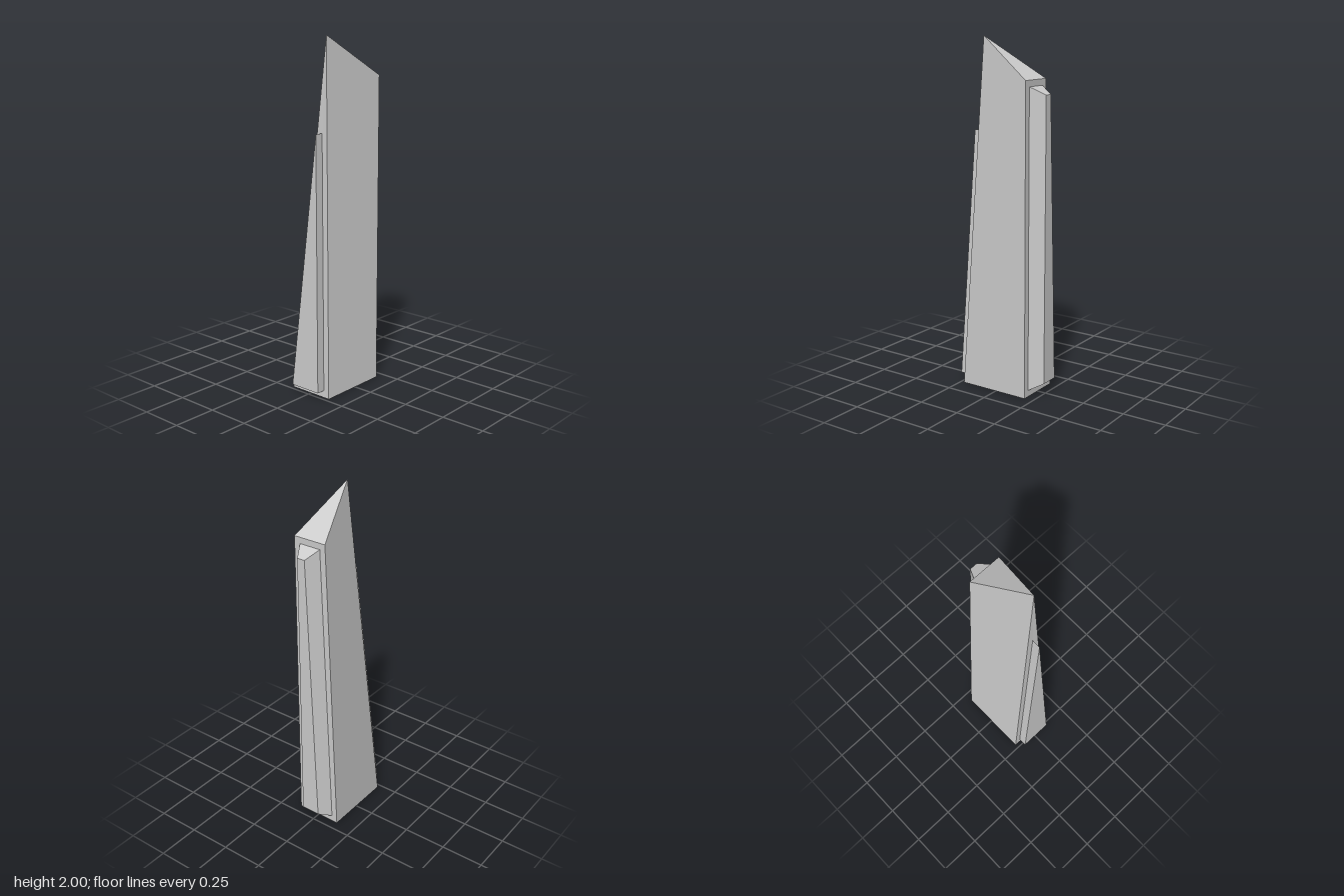
import * as THREE from 'three';

const material = new THREE.MeshStandardMaterial({ color: 0xcccccc, side: THREE.DoubleSide });

// Mesh of polygons, each fanned from its first corner and shaded flat with one average normal
function shell(name, polygons) {
  const positions = [];
  const normals = [];
  for (const polygon of polygons) {
    const points = polygon.map((p) => new THREE.Vector3(...p));
    const normal = new THREE.Vector3();
    points.forEach((p, i) => {
      normal.add(p.clone().cross(points[(i + 1) % points.length]));
    });
    normal.normalize();
    for (let i = 1; i < points.length - 1; i++) {
      for (const p of [points[0], points[i], points[i + 1]]) {
        positions.push(...p.toArray());
        normals.push(...normal.toArray());
      }
    }
  }
  const geometry = new THREE.BufferGeometry();
  geometry.setAttribute('position', new THREE.Float32BufferAttribute(positions, 3));
  geometry.setAttribute('normal', new THREE.Float32BufferAttribute(normals, 3));
  const mesh = new THREE.Mesh(geometry, material);
  mesh.name = name;
  return mesh;
}

// Band of quads from an outer loop to an inner loop
function band(outer, inner) {
  return outer.map((p, i) => {
    const next = (i + 1) % outer.length;
    return [p, outer[next], inner[next], inner[i]];
  });
}

// Upright loop at one x: z range at the bottom and at the top
function tallLoop(x, y0, y1, [front0, back0], [front1, back1]) {
  return [[x, y0, front0], [x, y0, back0], [x, y1, back1], [x, y1, front1]];
}

export function createModel() {
  const group = new THREE.Group();
  group.name = 'shardTower';

  // Corners of the hollow shaft, open underneath
  const peak = [-0.138, 2, 0.044];
  const leaningEnd = [[-0.228, 0, -0.135], [-0.228, 0, 0.135], peak];
  const uprightEnd = tallLoop(0.197, 0, 1.775, [0.135, -0.135], [0.135, -0.062]);
  const [backFoot, frontFoot] = leaningEnd;
  const [frontBase, backBase, backTop, frontTop] = uprightEnd;

  // Openings in the two end faces and the raised outlines of their panels
  const uprightInset = tallLoop(0.197, 0.037, 1.74, [0.099, -0.099], [0.099, -0.029]);
  const uprightRaised = tallLoop(0.275, 0.08, 1.698, [0.056, -0.056], [0.056, 0.01]);
  const leaningRaised = [[-0.276, 0.04, -0.0965], [-0.276, 0.04, 0.0965], [-0.211, 1.48, 0.032]];
  const leaningInset = leaningRaised.map(([x, y, z]) => [x + 0.0505, y, z]);

  // The front folds outward along its diagonal, the back folds inward
  group.add(shell('shaft', [
    [frontFoot, frontBase, frontTop, peak],
    [backBase, backFoot, peak, backTop],
    [peak, frontTop, backTop],
    ...band(uprightEnd, uprightInset),
    ...band(leaningEnd, leaningInset),
  ]));

  // Bevelled panel on the upright end, triangular panel on the leaning end
  group.add(shell('bevelledPanel', [...band(uprightInset, uprightRaised), uprightRaised]));
  group.add(shell('triangularPanel', [...band(leaningInset, leaningRaised), leaningRaised]));

  return group;
}
